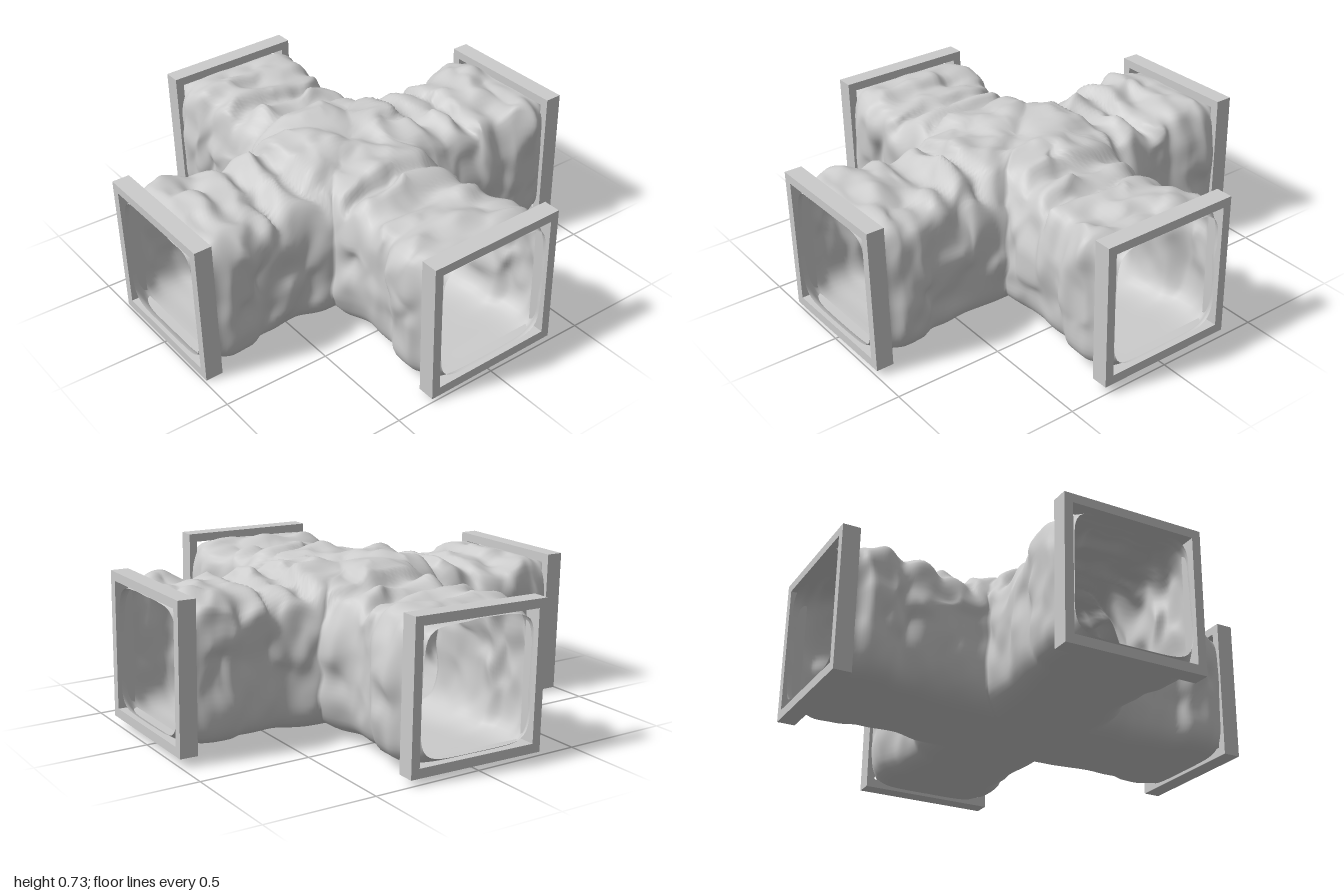
import * as THREE from 'three';
import { mergeGeometries, mergeVertices } from 'three/addons/utils/BufferGeometryUtils.js';

const END = 0.985; // rock lip tucked inside the end frame
const MID = 0.345; // mid height of the passage

// Profiles along an arm, as [distance from centre, value]
const ROOF = [[0, 0.695], [0.2, 0.71], [0.3, 0.705], [0.37, 0.645], [0.45, 0.68], [0.54, 0.63], [0.6, 0.665], [0.68, 0.65], [0.78, 0.675], [0.86, 0.67], [0.93, 0.65], [END, 0.638]];
const WALL = [[0.5, 0.3], [0.6, 0.31], [0.67, 0.305], [0.75, 0.34], [0.84, 0.34], [0.92, 0.31], [END, 0.277]];
const NARROW = [[0, 0.31], [0.31, 0.31], ...WALL]; // beside a tight inner corner
const WIDE = [[0, 0.355], [0.355, 0.355], ...WALL]; // beside a filled inner corner
const FLOOR = [[0, 0.012], [0.3, 0.015], [0.6, 0.03], [0.8, 0.036], [0.92, 0.045], [END, 0.085]];
const SQUARE_TOP = [[0, 3.2], [0.34, 3.2], [0.6, 4.5], [END, 6]]; // higher is squarer
const SQUARE_BASE = [[0, 4], [0.34, 4], [END, 6]];

function sample(profile, s) {
  let i = 0;
  while (i < profile.length - 2 && s > profile[i + 1][0]) i++;
  const [a, va] = profile[i], [b, vb] = profile[i + 1];
  return va + (vb - va) * THREE.MathUtils.smoothstep(s, a, b);
}

// Smooth value noise in -1..1
function hash(x, y, z) {
  const v = Math.sin(x * 127.1 + y * 311.7 + z * 74.7) * 43758.5453;
  return (v - Math.floor(v)) * 2 - 1;
}
function noise(x, y, z) {
  const xi = Math.floor(x), yi = Math.floor(y), zi = Math.floor(z);
  const ease = (t) => t * t * (3 - 2 * t);
  const fx = ease(x - xi), fy = ease(y - yi), fz = ease(z - zi);
  let sum = 0;
  for (let k = 0; k < 8; k++) {
    const a = k & 1, b = (k >> 1) & 1, c = k >> 2;
    sum += hash(xi + a, yi + b, zi + c) * (a ? fx : 1 - fx) * (b ? fy : 1 - fy) * (c ? fz : 1 - fz);
  }
  return sum;
}
const rough = (x, y, z) => noise(x * 7, y * 5, z * 7) * 0.7 + noise(x * 14 + 9, y * 10, z * 14) * 0.5;

// Point on a rounded square of unit half size
function roundedSquare(angle, s) {
  const c = Math.cos(angle), v = Math.sin(angle);
  const n = sample(v > 0 ? SQUARE_TOP : SQUARE_BASE, s);
  const r = Math.pow(Math.abs(c) ** n + Math.abs(v) ** n, -1 / n);
  return [c * r, v * r];
}

// One arm along +z turned by a quarter-turn count, mitred to its neighbours at the crossing
function rockArm(turn) {
  const around = 96, along = 56, positions = [], index = [];
  const p = new THREE.Vector3(), up = new THREE.Vector3(0, 1, 0);
  for (let j = 0; j <= along; j++) {
    for (let i = 0; i < around; i++) {
      const angle = (i / around) * Math.PI * 2;
      // The front-right and back-left inner corners are filled
      const half = (Math.cos(angle) < 0) === (turn % 2 === 0) ? WIDE : NARROW;
      const start = half[0][1] * Math.abs(roundedSquare(angle, 0)[0]);
      const s = start + (END - start) * (j / along);
      const [c, v] = roundedSquare(angle, j === 0 ? 0 : s);
      const u = sample(half, s) * c;
      const y = v > 0 ? MID + (sample(ROOF, s) - MID) * v : MID + (MID - sample(FLOOR, s)) * v;
      p.set(u, y, s).applyAxisAngle(up, turn * Math.PI / 2);
      // Rocky walls and roof, calm floor and ends
      const { x, z } = p;
      const calm = THREE.MathUtils.smoothstep(y, 0.02, 0.3) * (1 - 0.8 * THREE.MathUtils.smoothstep(s, 0.82, 0.94));
      p.x += rough(x + 3.1, y, z) * 0.036 * calm;
      p.y += rough(x, y + 7.3, z) * 0.038 * calm;
      p.z += rough(x, y, z + 5.7) * 0.036 * calm;
      positions.push(p.x, p.y, p.z);
    }
  }
  for (let j = 0; j < along; j++) {
    for (let i = 0; i < around; i++) {
      const n = (i + 1) % around;
      const a = j * around + i, b = j * around + n, d = a + around, e = b + around;
      index.push(a, b, d, b, e, d);
    }
  }
  const geometry = new THREE.BufferGeometry();
  geometry.setAttribute('position', new THREE.Float32BufferAttribute(positions, 3));
  geometry.setIndex(index);
  return geometry;
}

// Square frame around an opening
function frameGeometry() {
  const rect = (Type, w, lo, hi) => {
    const path = new Type();
    path.moveTo(-w, lo);
    path.lineTo(w, lo);
    path.lineTo(w, hi);
    path.lineTo(-w, hi);
    path.closePath();
    return path;
  };
  const shape = rect(THREE.Shape, 0.328, 0.03, 0.69);
  shape.holes.push(rect(THREE.Path, 0.288, 0.072, 0.65));
  const geometry = new THREE.ExtrudeGeometry(shape, { depth: 0.08, bevelEnabled: false });
  geometry.translate(0, 0, 0.917);
  return geometry;
}

export function createModel() {
  const model = new THREE.Group();
  model.name = 'caveCrossing';
  const rockMaterial = new THREE.MeshStandardMaterial({ color: 0xcccccc, side: THREE.DoubleSide });
  const frameMaterial = new THREE.MeshStandardMaterial({ color: 0xcccccc });

  // Four arms welded into one smooth rock shell
  const shell = mergeVertices(mergeGeometries([0, 1, 2, 3].map(rockArm)), 1e-4);
  shell.computeVertexNormals();
  const rock = new THREE.Mesh(shell, rockMaterial);
  rock.name = 'rockTunnel';
  model.add(rock);

  // End frames
  const frame = frameGeometry();
  ['front', 'left', 'back', 'right'].forEach((side, k) => {
    const mesh = new THREE.Mesh(frame, frameMaterial);
    mesh.name = side + 'Frame';
    mesh.rotation.y = k * Math.PI / 2;
    model.add(mesh);
  });

  // The whole piece leans slightly to its right
  model.rotation.z = 0.018;
  model.position.x = 0.006;
  return model;
}
